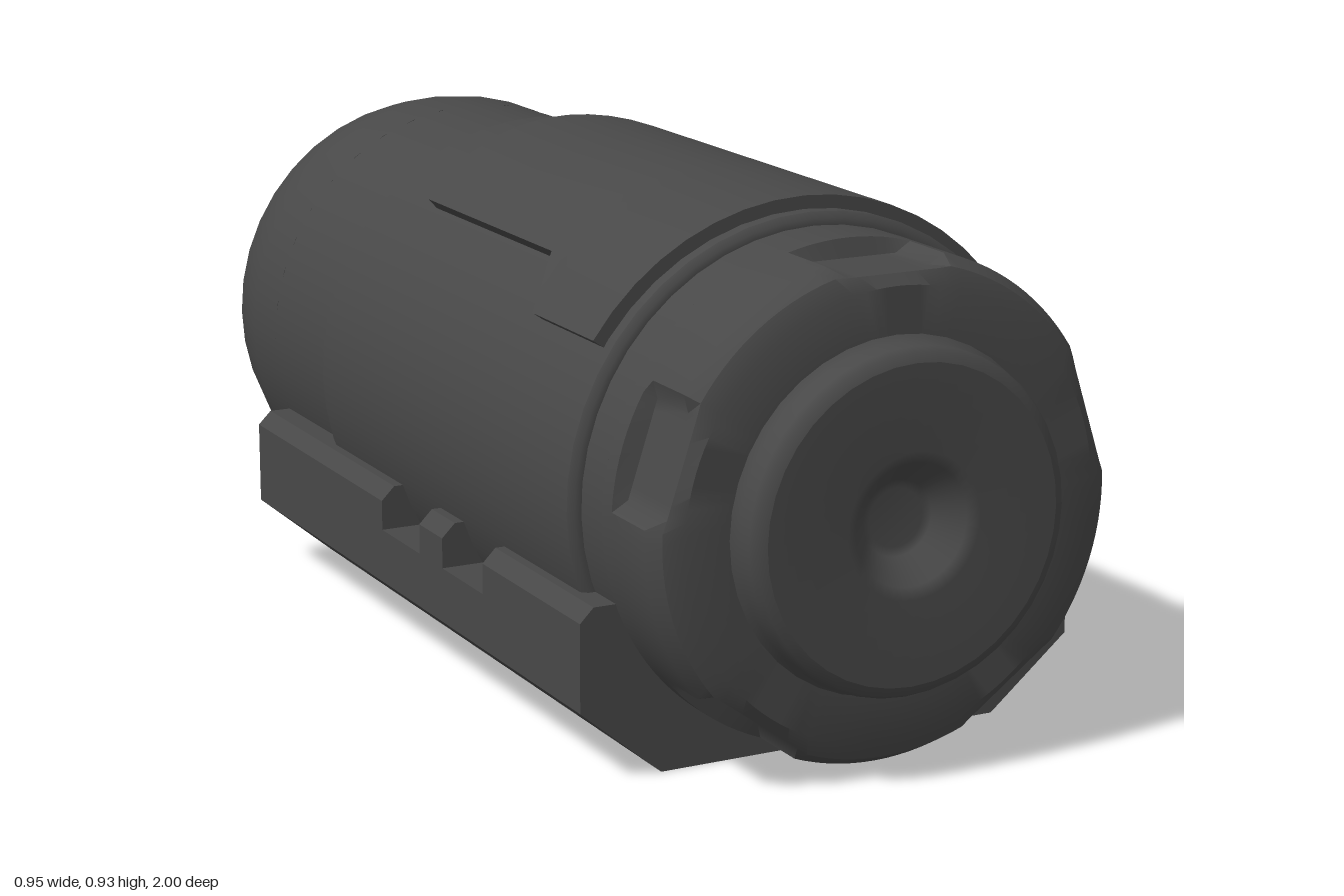
import * as THREE from 'three';
import { toCreasedNormals } from 'three/addons/utils/BufferGeometryUtils.js';

const AXIS_Y = 0.45;
const charcoal = new THREE.MeshStandardMaterial({ color: 0x484848, side: THREE.DoubleSide });
charcoal.name = 'charcoal';

function part(name, geometry) {
  const mesh = new THREE.Mesh(geometry, charcoal);
  mesh.name = name;
  return mesh;
}

// Turned part along z; profile is [radius, z] from rear to front, angle 0 is at the bottom
function turned(profile, segments, start = 0, length = Math.PI * 2) {
  const pts = profile.map(([r, z]) => new THREE.Vector2(r, z));
  const g = new THREE.LatheGeometry(pts, segments, start, length);
  g.rotateX(Math.PI / 2);
  g.translate(0, AXIS_Y, 0);
  return g;
}

// Front collar: a turned ring with five notches pressed into its rim
function collarGeometry() {
  const g = turned([[0.435, 0.74], [0.435, 0.775], [0.435, 0.785], [0.435, 0.89],
    [0.418, 0.92], [0.385, 0.935], [0.29, 0.935]], 120);
  const p = g.attributes.position;
  const period = Math.PI * 2 / 5;
  for (let i = 0; i < p.count; i++) {
    if (p.getZ(i) < 0.78) continue;
    const x = p.getX(i), y = p.getY(i) - AXIS_Y;
    const r = Math.hypot(x, y);
    const fromTop = Math.atan2(x, y);
    const d = fromTop - Math.round(fromTop / period) * period;
    if (Math.abs(d) > 0.23) continue;
    const k = Math.min(r, 0.403 / Math.cos(d)) / r;
    p.setXY(i, x * k, AXIS_Y + y * k);
  }
  return toCreasedNormals(g, 0.6);
}

// Raised curved plate: a grid wrapped on the sleeve, with its outer ring turned down as a rim
function topPlateGeometry() {
  const rows = [[-0.2, 0.32], [0.0, 0.32], [0.32, 0.32], [0.4, 0.395], [0.63, 0.395]]; // z, half width
  const cols = 16, nx = cols + 2, nz = rows.length + 1;
  const g = new THREE.PlaneGeometry(1, 1, nx, nz);
  const p = g.attributes.position;
  for (let j = 0; j <= nz; j++) {
    for (let i = 0; i <= nx; i++) {
      const ci = THREE.MathUtils.clamp(i - 1, 0, cols);
      const cj = THREE.MathUtils.clamp(j - 1, 0, rows.length - 1);
      const rim = ci !== i - 1 || cj !== j - 1;
      const t = ci / cols * 2 - 1;
      const [z, w] = rows[cj];
      const a = t * Math.asin(w / 0.48);
      const r = rim ? 0.45 : 0.48;
      p.setXYZ(j * (nx + 1) + i, r * Math.sin(a), AXIS_Y + r * Math.cos(a),
        cj === 0 ? z - 0.07 * (1 - t * t) : z);
    }
  }
  return toCreasedNormals(g, 0.6);
}

// Flat-faced sheet swept along z from an [x, y] profile
function sheet(profile, z0, z1) {
  const pos = [];
  for (let i = 0; i < profile.length - 1; i++) {
    const [ax, ay] = profile[i], [bx, by] = profile[i + 1];
    pos.push(ax, ay, z1, ax, ay, z0, bx, by, z0, ax, ay, z1, bx, by, z0, bx, by, z1);
  }
  const g = new THREE.BufferGeometry();
  g.setAttribute('position', new THREE.Float32BufferAttribute(pos, 3));
  g.computeVertexNormals();
  return g;
}

function flatShape(points, z) {
  const g = new THREE.ShapeGeometry(new THREE.Shape(points.map(([x, y]) => new THREE.Vector2(x, y))));
  g.translate(0, 0, z);
  return g;
}

// One side of the cradle, with two notches in its upper edge
function cradleSide(name) {
  const side = new THREE.Group();
  side.name = name;
  const full = [[0.325, 0], [0.475, 0.125], [0.475, 0.28], [0.45, 0.305], [0.405, 0.305]];
  const low = [[0.325, 0], [0.475, 0.125], [0.475, 0.225], [0.385, 0.225]];
  const stops = [-0.7, -0.08, 0.09, 0.19, 0.36, 0.74];
  const step = [[0.385, 0.225], [0.475, 0.225], [0.475, 0.28], [0.45, 0.305], [0.42, 0.305]];
  for (let i = 0; i < stops.length - 1; i++) {
    side.add(part('cradlePanel', sheet(i % 2 ? low : full, stops[i], stops[i + 1])));
    if (i > 0) side.add(part('notchWall', flatShape(step, stops[i])));
  }
  return side;
}

// End wall of the cradle, cut out around the round body
function cradleEnd(z) {
  const pts = [[-0.405, 0.305], [-0.45, 0.305], [-0.475, 0.28], [-0.475, 0.125], [-0.325, 0],
    [0.325, 0], [0.475, 0.125], [0.475, 0.28], [0.45, 0.305], [0.405, 0.305]];
  const half = Math.acos(0.145 / 0.432);
  for (let i = 0; i <= 20; i++) {
    const a = half * (1 - i / 10);
    pts.push([0.432 * Math.sin(a), AXIS_Y - 0.432 * Math.cos(a)]);
  }
  return flatShape(pts, z);
}

export function createModel() {
  const model = new THREE.Group();
  model.name = 'canister';

  // Closed rear end
  model.add(part('rearCap', turned([[0, -1], [0.355, -1], [0.355, -1], [0.385, -0.99], [0.405, -0.965],
    [0.425, -0.885], [0.435, -0.82], [0.435, -0.7]], 40)));

  // Middle shell, open underneath where the cradle encloses it
  const open = THREE.MathUtils.degToRad(58);
  model.add(part('bodySleeve', turned([[0.435, -0.7], [0.435, -0.4], [0.435, -0.4], [0.457, -0.4], [0.457, -0.4],
    [0.457, 0.655], [0.457, 0.655], [0.447, 0.665], [0.435, 0.665], [0.435, 0.665], [0.435, 0.74]],
  32, open, Math.PI * 2 - 2 * open)));

  // Front collar and dished end disc
  model.add(part('frontCollar', collarGeometry()));
  model.add(part('frontDisc', turned([[0.31, 0.93], [0.295, 0.945], [0.295, 0.98], [0.288, 0.993], [0.272, 1],
    [0.272, 1], [0.125, 1], [0.105, 0.99], [0.065, 0.945], [0.05, 0.94], [0, 0.94]], 40)));

  model.add(part('topPlate', topPlateGeometry()));

  // Cradle: mirrored sides and two end walls, open at the bottom
  const cradle = new THREE.Group();
  cradle.name = 'cradle';
  const right = cradleSide('cradleRight');
  right.scale.x = -1;
  cradle.add(cradleSide('cradleLeft'), right);
  cradle.add(part('cradleRearWall', cradleEnd(-0.7)), part('cradleFrontWall', cradleEnd(0.74)));
  model.add(cradle);

  return model;
}
